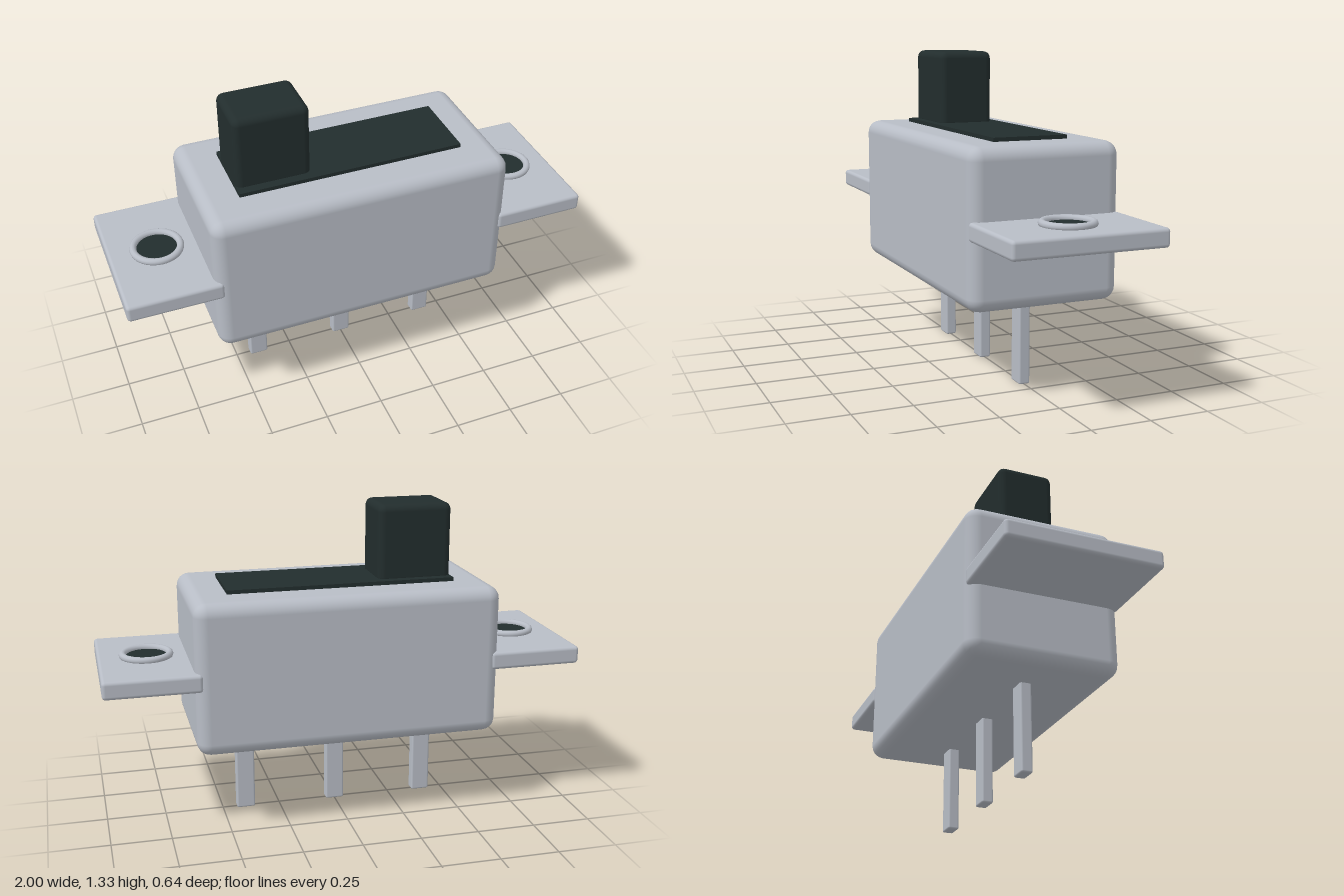
import * as THREE from 'three';
import { RoundedBoxGeometry } from 'three/addons/geometries/RoundedBoxGeometry.js';

export function createModel() {
  const model = new THREE.Group();
  model.name = 'slideSwitch';

  const metal = new THREE.MeshStandardMaterial({ color: 0xb8bdc6 });
  metal.name = 'light grey metal';
  const plastic = new THREE.MeshStandardMaterial({ color: 0x222d2d });
  plastic.name = 'dark plastic';

  const add = (name, geometry, material, x, y, z = 0) => {
    const mesh = new THREE.Mesh(geometry, material);
    mesh.name = name;
    mesh.position.set(x, y, z);
    model.add(mesh);
    return mesh;
  };

  // Rounded box given by its x and y ranges, centred on z
  const block = (name, material, x0, x1, y0, y1, depth, radius, segments = 3) =>
    add(name, new RoundedBoxGeometry(x1 - x0, y1 - y0, depth, segments, radius),
      material, (x0 + x1) / 2, (y0 + y1) / 2);

  // Housing, slot plate and sliding knob
  block('housing', metal, -0.64, 0.635, 0.365, 1.0, 0.636, 0.055);
  add('slotPlate', new THREE.BoxGeometry(0.96, 0.02, 0.316), plastic, 0, 1.006);
  block('knob', plastic, -0.48, -0.165, 0.99, 1.325, 0.24, 0.03);

  // Mounting ears with a rimmed screw hole
  for (const [side, s] of [['left', 1], ['right', -1]]) {
    block(side + 'Ear', metal, s > 0 ? 0.605 : -1, s > 0 ? 1 : -0.605, 0.645, 0.72, 0.636, 0.015, 2);
    const rim = add(side + 'HoleRim', new THREE.TorusGeometry(0.097, 0.015, 10, 40), metal, s * 0.8, 0.728);
    rim.rotation.x = Math.PI / 2;
    add(side + 'Hole', new THREE.CylinderGeometry(0.088, 0.088, 0.008, 40), plastic, s * 0.8, 0.721);
  }

  // Three contact pins
  ['right', 'middle', 'left'].forEach((side, i) => {
    const x = (i - 1) * 0.4;
    block(side + 'Pin', metal, x - 0.04, x + 0.04, 0, 0.4, 0.048, 0.008, 2);
  });

  return model;
}
